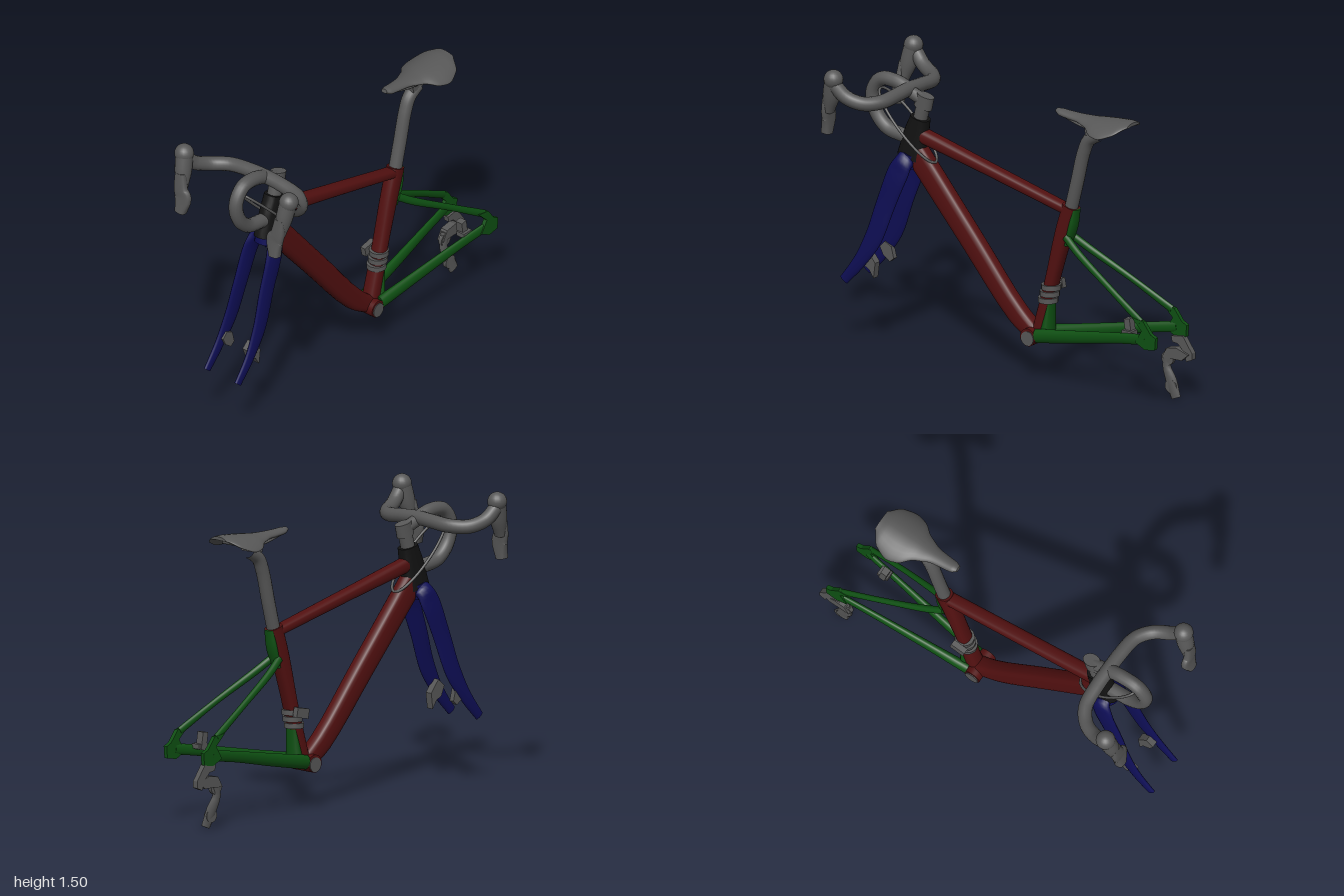
import * as THREE from 'three';

const mat = (name, color, side = THREE.FrontSide) => {
  const m = new THREE.MeshStandardMaterial({ color, side });
  m.name = name;
  return m;
};

export function createModel() {
  const root = new THREE.Group();
  root.name = 'bicycleFrame';
  const red = mat('dark red', 0x521010);
  const blue = mat('dark blue', 0x0e0e55);
  const green = mat('dark green', 0x0e5012);
  const black = mat('black', 0x121212);
  const grey = mat('grey', 0x575757);

  const add = (name, geo, material) => {
    const mesh = new THREE.Mesh(geo, material);
    mesh.name = name;
    root.add(mesh);
    return mesh;
  };

  // Smooth tube with elliptical sections [x, y, z, halfWidth, halfDepth]; power < 1 squares it off
  function loftGeo(sections, { steps = 1, sides = 20, power = 1 } = {}) {
    const path = new THREE.CatmullRomCurve3(sections.map(s => new THREE.Vector3(s[0], s[1], s[2])));
    const size = new THREE.CatmullRomCurve3(sections.map(s => new THREE.Vector3(s[3], s[4], 0)), false, 'catmullrom', 0.3);
    const n = (sections.length - 1) * steps;
    const pos = [], idx = [];
    const sp = v => Math.sign(v) * Math.abs(v) ** power;
    const ring = i => {
      const t = i / n, c = path.getPoint(t), T = path.getTangent(t), s = size.getPoint(t);
      const S = new THREE.Vector3(1, 0, 0).addScaledVector(T, -T.x).normalize();
      const U = T.clone().cross(S);
      const start = pos.length / 3;
      for (let j = 0; j < sides; j++) {
        const a = j / sides * Math.PI * 2;
        const p = c.clone().addScaledVector(S, sp(Math.cos(a)) * s.x).addScaledVector(U, sp(Math.sin(a)) * s.y);
        pos.push(p.x, p.y, p.z);
      }
      return start;
    };
    for (let i = 0; i <= n; i++) ring(i);
    for (let i = 0; i < n; i++) for (let j = 0; j < sides; j++) {
      const a = i * sides + j, b = i * sides + (j + 1) % sides;
      idx.push(a, b, a + sides, b, b + sides, a + sides);
    }
    for (const end of [0, n]) {
      const s = ring(end);
      for (let j = 1; j < sides - 1; j++) end ? idx.push(s, s + j, s + j + 1) : idx.push(s, s + j + 1, s + j);
    }
    const g = new THREE.BufferGeometry();
    g.setAttribute('position', new THREE.Float32BufferAttribute(pos, 3));
    g.setIndex(idx);
    g.computeVertexNormals();
    return g;
  }
  const loft = (name, material, sections, opt) => add(name, loftGeo(sections, opt), material);

  // Round tube through points
  const tube = (name, material, pts, r, closed = false) => add(name, new THREE.TubeGeometry(
    new THREE.CatmullRomCurve3(pts.map(p => new THREE.Vector3(...p)), closed), 48, r, 14, closed), material);
  const ball = (name, material, p, r) => add(name, new THREE.SphereGeometry(r, 20, 14), material).position.set(...p);
  const axle = (name, material, p, r, len) => {
    const g = new THREE.CylinderGeometry(r, r, len, 28).rotateZ(Math.PI / 2);
    add(name, g, material).position.set(...p);
  };
  // Flat plate outlined in [z, y], centred on x
  const plate = (name, material, pts, x, thick) => {
    const shape = new THREE.Shape(pts.map(p => new THREE.Vector2(...p)));
    const g = new THREE.ExtrudeGeometry(shape, { depth: thick, bevelEnabled: false });
    g.translate(0, 0, -thick / 2).rotateY(-Math.PI / 2);
    add(name, g, material).position.x = x;
  };
  const box = (name, material, size, p, tilt = 0) => {
    const m = add(name, new THREE.BoxGeometry(...size), material);
    m.position.set(...p);
    m.rotation.x = tilt;
  };

  // Main frame
  loft('downTube', red, [[0, 1.03, 0.6, 0.042, 0.065], [0, 0.64, 0.27, 0.043, 0.06], [0, 0.31, -0.01, 0.043, 0.055],
    [0, 0.225, -0.12, 0.045, 0.045]], { steps: 4, power: 0.65 });
  loft('topTube', red, [[0, 1.125, 0.57, 0.038, 0.038], [0, 1.02, 0.15, 0.037, 0.03], [0, 0.9, -0.32, 0.036, 0.026]],
    { steps: 4, power: 0.75 });
  loft('seatTube', red, [[0, 0.925, -0.335, 0.04, 0.045], [0, 0.78, -0.29, 0.04, 0.044], [0, 0.5, -0.215, 0.04, 0.034],
    [0, 0.22, -0.145, 0.043, 0.042]], { steps: 4, power: 0.8 });
  axle('bottomBracketShell', red, [0, 0.22, -0.12], 0.045, 0.146);
  axle('bottomBracketCaps', grey, [0, 0.215, -0.12], 0.037, 0.156);
  loft('headTube', black, [[0, 1.215, 0.58, 0.045, 0.05], [0, 1.12, 0.605, 0.046, 0.066], [0, 1.0, 0.63, 0.05, 0.08]],
    { steps: 4, power: 0.8 });

  // Rear triangle
  loft('seatTubeFairing', green, [[0, 0.915, -0.365, 0.03, 0.015], [0, 0.82, -0.345, 0.036, 0.02],
    [0, 0.72, -0.315, 0.03, 0.015]], { steps: 4 });
  loft('lowerFairing', green, [[0, 0.4, -0.215, 0.034, 0.012], [0, 0.24, -0.19, 0.05, 0.035]], { steps: 3 });
  for (const s of [-1, 1]) {
    loft('seatStay', green, [[s * 0.025, 0.765, -0.32, 0.018, 0.02], [s * 0.05, 0.705, -0.41, 0.017, 0.02],
      [s * 0.095, 0.58, -0.63, 0.014, 0.017], [s * 0.132, 0.45, -0.85, 0.013, 0.02]], { steps: 5 });
    loft('chainStay', green, [[s * 0.05, 0.23, -0.16, 0.026, 0.036], [s * 0.075, 0.275, -0.4, 0.02, 0.033],
      [s * 0.11, 0.335, -0.7, 0.015, 0.028], [s * 0.132, 0.365, -0.88, 0.013, 0.028]], { steps: 4 });
    plate('rearDropout', green, [[-0.8, 0.47], [-0.87, 0.46], [-0.915, 0.4], [-0.945, 0.385], [-0.94, 0.325],
      [-0.88, 0.315], [-0.82, 0.345], [-0.86, 0.41]], s * 0.133, 0.022);
  }

  // Fork
  for (const s of [-1, 1]) {
    loft('forkLeg', blue, [[0, 0.995, 0.635, 0.03, 0.06], [s * 0.05, 0.99, 0.64, 0.03, 0.05],
      [s * 0.073, 0.93, 0.665, 0.018, 0.06], [s * 0.083, 0.75, 0.735, 0.016, 0.055], [s * 0.093, 0.57, 0.8, 0.015, 0.05],
      [s * 0.099, 0.43, 0.885, 0.014, 0.035], [s * 0.1, 0.325, 0.972, 0.012, 0.026]], { steps: 5, sides: 16 });
  }
  loft('forkCrown', blue, [[0, 1.025, 0.625, 0.052, 0.072], [0, 0.96, 0.645, 0.055, 0.06]], { steps: 2 });

  // Seat post and clamp
  tube('seatPost', grey, [[0, 0.88, -0.325], [0, 1.05, -0.368], [0, 1.22, -0.41], [0, 1.285, -0.44], [0, 1.325, -0.5]], 0.034);
  box('saddleClamp', grey, [0.06, 0.04, 0.09], [0, 1.345, -0.48], 0.15);
  for (const s of [-1, 1])
    tube('saddleRail', grey, [[s * 0.015, 1.39, -0.3], [s * 0.03, 1.365, -0.42], [s * 0.035, 1.36, -0.53], [s * 0.05, 1.385, -0.64]], 0.008);

  // Saddle, with the wings bent down
  const saddle = loftGeo([[0, 1.41, -0.25, 0.018, 0.01], [0, 1.402, -0.28, 0.032, 0.018], [0, 1.395, -0.38, 0.043, 0.019],
    [0, 1.395, -0.46, 0.075, 0.019], [0, 1.4, -0.53, 0.128, 0.02], [0, 1.405, -0.59, 0.142, 0.02],
    [0, 1.413, -0.66, 0.118, 0.016], [0, 1.418, -0.71, 0.055, 0.008]], { steps: 4, sides: 28 });
  const sv = saddle.attributes.position;
  for (let i = 0; i < sv.count; i++) sv.setY(i, sv.getY(i) - 2.6 * sv.getX(i) ** 2);
  saddle.computeVertexNormals();
  add('saddle', saddle, grey);

  // Stem and steerer
  loft('steererSpacer', grey, [[0, 1.2, 0.583, 0.036, 0.036], [0, 1.29, 0.56, 0.034, 0.036]]);
  loft('stemCap', grey, [[0, 1.27, 0.565, 0.036, 0.05], [0, 1.335, 0.548, 0.034, 0.048]]);
  tube('stem', grey, [[0, 1.305, 0.56], [0, 1.325, 0.61], [0, 1.345, 0.66]], 0.032);

  // Centre loop of the handlebar
  tube('barLoop', grey, [[0, 1.345, 0.64], [0, 1.375, 0.73], [0, 1.37, 0.82], [0, 1.3, 0.868], [0, 1.2, 0.85],
    [0, 1.125, 0.78], [0, 1.1, 0.67]], 0.036);
  ball('barLoopEnd', grey, [0, 1.1, 0.67], 0.036);

  // Handlebar, hoods and levers
  tube('handlebar', grey, [[-0.345, 1.42, 0.855], [-0.33, 1.365, 0.8], [-0.295, 1.335, 0.72], [-0.22, 1.335, 0.662], [-0.1, 1.345, 0.648], [0, 1.35, 0.648],
    [0.1, 1.345, 0.648], [0.22, 1.335, 0.662], [0.295, 1.335, 0.72], [0.33, 1.365, 0.8], [0.345, 1.42, 0.855]], 0.036);
  for (const s of [-1, 1]) {
    ball('hood', grey, [s * 0.342, 1.448, 0.865], 0.049);
    loft('hoodBody', grey, [[s * 0.34, 1.45, 0.865, 0.044, 0.045], [s * 0.33, 1.36, 0.885, 0.042, 0.045],
      [s * 0.32, 1.27, 0.905, 0.03, 0.025]], { steps: 4 });
    loft('brakeLever', grey, [[s * 0.325, 1.36, 0.91, 0.03, 0.02], [s * 0.315, 1.27, 0.92, 0.04, 0.02],
      [s * 0.3, 1.235, 0.922, 0.05, 0.02], [s * 0.307, 1.15, 0.93, 0.03, 0.026]], { steps: 4, power: 0.7 });
  }

  // Cable loop around the head tube
  tube('cableLoop', grey, Array.from({ length: 16 }, (_, i) => {
    const a = i / 16 * Math.PI * 2, c = Math.cos(a);
    return [Math.sin(a) * 0.082, 1.16 + 0.165 * c, 0.655 + 0.165 * c];
  }), 0.007, true);

  // Front brakes
  plate('frontBrakeCaliper', grey, [[0.88, 0.47], [0.84, 0.505], [0.82, 0.48], [0.79, 0.44], [0.8, 0.36], [0.825, 0.4], [0.86, 0.42]], 0.072, 0.04);
  plate('frontBrakeMount', grey, [[0.88, 0.47], [0.85, 0.5], [0.81, 0.48], [0.795, 0.42], [0.82, 0.4], [0.86, 0.43]], -0.088, 0.028);

  // Rear brake
  box('rearBrakeCaliper', grey, [0.04, 0.09, 0.035], [0.08, 0.395, -0.745], 0.15);
  box('rearBrakeArm', grey, [0.05, 0.025, 0.06], [0.09, 0.37, -0.75]);

  // Front shifting mechanism and clamp on the seat tube
  for (const [y, z] of [[0.415, -0.193], [0.45, -0.203], [0.485, -0.212]])
    add('seatTubeClamp', new THREE.CylinderGeometry(0.05, 0.05, 0.026, 20), grey).position.set(0, y, z);
  box('frontDerailleur', grey, [0.03, 0.05, 0.08], [-0.063, 0.485, -0.205], 0.2);

  // Rear derailleur: hanger, body, cage and pulleys
  plate('derailleurHanger', grey, [[-0.86, 0.32], [-0.93, 0.33], [-0.985, 0.25], [-0.985, 0.215], [-0.95, 0.2], [-0.94, 0.245],
    [-0.9, 0.285], [-0.865, 0.29]], -0.125, 0.03);
  plate('derailleurBody', grey, [[-0.84, 0.255], [-0.9, 0.265], [-0.97, 0.24], [-0.93, 0.205], [-0.87, 0.205], [-0.81, 0.2]], -0.118, 0.04);
  loft('derailleurCage', grey, [[-0.117, 0.24, -0.85, 0.018, 0.03], [-0.115, 0.16, -0.83, 0.016, 0.025],
    [-0.11, 0.09, -0.86, 0.014, 0.035], [-0.103, 0.004, -0.895, 0.01, 0.03]], { steps: 3, sides: 8 });
  axle('upperPulley', grey, [-0.115, 0.2, -0.84], 0.036, 0.02);
  axle('lowerPulley', grey, [-0.108, 0.06, -0.865], 0.035, 0.02);

  return root;
}
